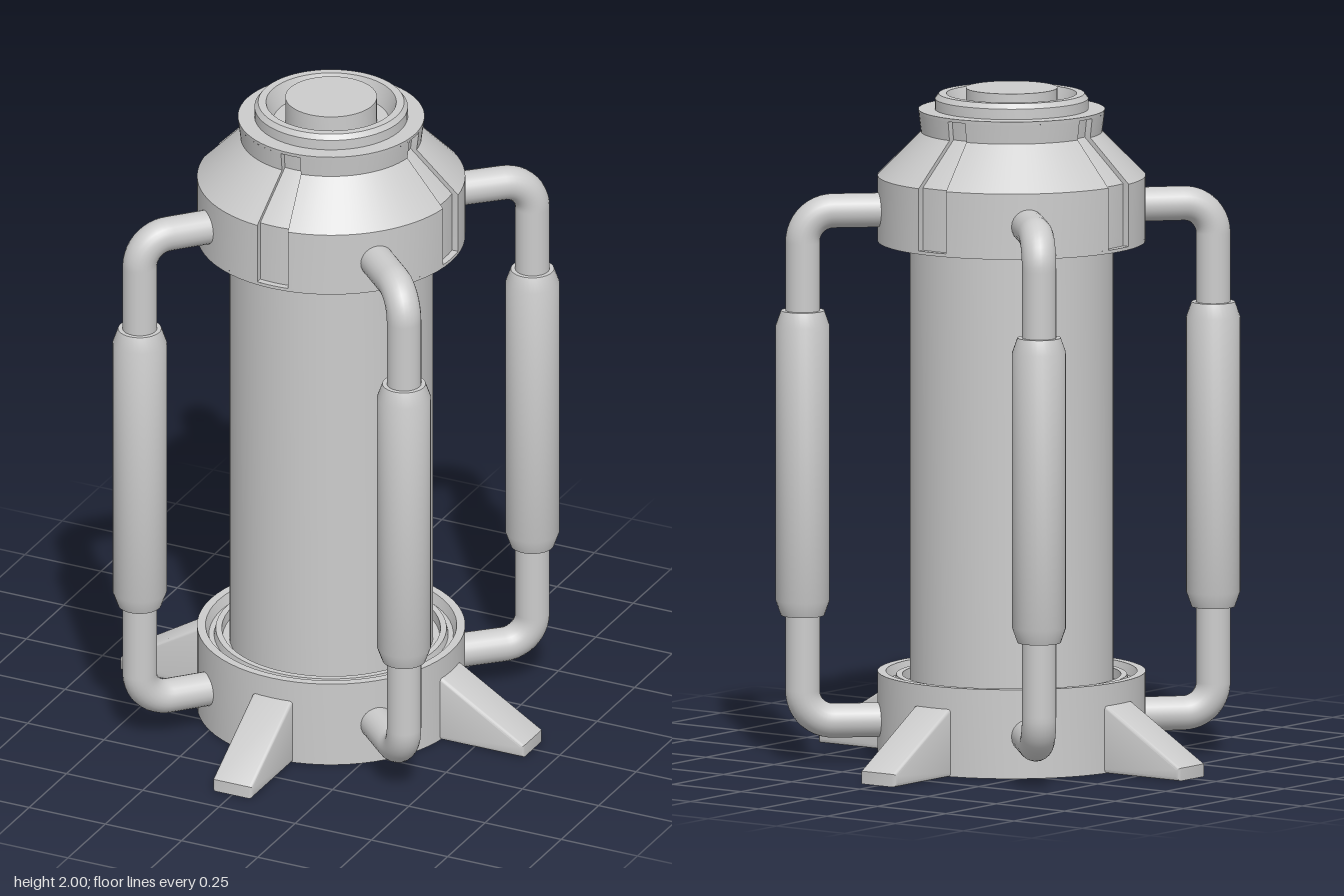
import * as THREE from 'three';
import { toCreasedNormals } from 'three/addons/utils/BufferGeometryUtils.js';

const grey = new THREE.MeshStandardMaterial({ color: 0xcccccc });

function mesh(name, geometry) {
  const m = new THREE.Mesh(geometry, grey);
  m.name = name;
  return m;
}

// Revolved profile, listed from the bottom up, with sharp edges kept
function turned(name, points, segments = 64) {
  const profile = points.map(([r, y]) => new THREE.Vector2(r, y));
  return mesh(name, toCreasedNormals(new THREE.LatheGeometry(profile, segments), 0.4));
}

// Outer skin of the head with four tapering recessed slots
function slottedShell() {
  const rows = [ // radius, height, half width of slot
    [0.395, 1.555, 0.05],
    [0.395, 1.74, 0.05],
    [0.267, 1.87, 0.031],
    [0.274, 1.927, 0.031],
  ];
  const depth = 0.02;
  const pos = [];
  const point = (r, t, y) => [r * Math.sin(t), y, r * Math.cos(t)];
  const quad = (a, b, c, d) => pos.push(...a, ...b, ...c, ...a, ...c, ...d);
  const angle = (w, r) => Math.asin(w / r);
  const mix = THREE.MathUtils.lerp;

  // Curved strip between two arcs, each given as radius, height, start, end
  const strip = (lo, hi, steps) => {
    for (let i = 0; i < steps; i++) {
      const at = (arc, k) => point(arc[0], mix(arc[2], arc[3], k / steps), arc[1]);
      quad(at(lo, i), at(lo, i + 1), at(hi, i + 1), at(hi, i));
    }
  };

  for (let q = 0; q < 4; q++) {
    const mid = q * Math.PI / 2;
    const next = mid + Math.PI / 2;
    const skin = ([r, y, w]) => [r, y, mid + angle(w, r), next - angle(w, r)];
    const slot = ([r, y, w], inset) =>
      [r - inset, y, mid - angle(w, r - inset), mid + angle(w, r - inset)];
    for (let i = 0; i < rows.length - 1; i++) {
      strip(skin(rows[i]), skin(rows[i + 1]), 16);
      const [ol, oh] = [slot(rows[i], 0), slot(rows[i + 1], 0)];
      const [nl, nh] = [slot(rows[i], depth), slot(rows[i + 1], depth)];
      strip(nl, nh, 4);
      const edge = (arc, side) => point(arc[0], arc[side], arc[1]);
      quad(edge(ol, 2), edge(nl, 2), edge(nh, 2), edge(oh, 2));
      quad(edge(nl, 3), edge(ol, 3), edge(oh, 3), edge(nh, 3));
    }
    // Slot floor and ceiling
    const top = rows[rows.length - 1];
    strip(slot(rows[0], 0), slot(rows[0], depth), 4);
    strip(slot(top, depth), slot(top, 0), 4);
  }
  const g = new THREE.BufferGeometry();
  g.setAttribute('position', new THREE.Float32BufferAttribute(pos, 3));
  return mesh('slottedHeadShell', toCreasedNormals(g, 0.4));
}

// Side pipe with rounded elbows and a thicker grip sleeve
function sidePipe(x, z) {
  const group = new THREE.Group();
  group.name = 'sidePipe';
  const R = Math.hypot(x, z), bend = 0.09, low = 0.125, high = 1.642;
  const v = (r, y) => new THREE.Vector3(r, y, 0);
  const path = new THREE.CurvePath();
  const elbow = (a, corner, b) => {
    // Cubic handles that follow a circular arc
    const k = 0.5523;
    return new THREE.CubicBezierCurve3(a, a.clone().lerp(corner, k), b.clone().lerp(corner, k), b);
  };
  path.add(new THREE.LineCurve3(v(0.34, low), v(R - bend, low)));
  path.add(elbow(v(R - bend, low), v(R, low), v(R, low + bend)));
  path.add(new THREE.LineCurve3(v(R, low + bend), v(R, high - bend)));
  path.add(elbow(v(R, high - bend), v(R, high), v(R - bend, high)));
  path.add(new THREE.LineCurve3(v(R - bend, high), v(0.34, high)));
  group.add(mesh('pipe', new THREE.TubeGeometry(path, 150, 0.051, 24)));

  const sleeve = turned('gripSleeve', [
    [0.05, 0.44], [0.064, 0.44], [0.08, 0.485],
    [0.08, 1.302], [0.064, 1.347], [0.05, 1.347],
  ], 32);
  sleeve.position.x = R;
  group.add(sleeve);
  group.rotation.y = Math.atan2(-z, x);
  return group;
}

// Wedge-shaped foot with softened edges
function foot(angle) {
  const shape = new THREE.Shape();
  shape.moveTo(0.34, 0);
  shape.lineTo(0.662, 0);
  shape.lineTo(0.662, 0.038);
  shape.lineTo(0.395, 0.2);
  shape.lineTo(0.34, 0.2);
  shape.closePath();
  const bevel = 0.01;
  const g = new THREE.ExtrudeGeometry(shape, {
    depth: 0.13 - 2 * bevel, bevelSize: bevel, bevelThickness: bevel,
    bevelOffset: -bevel, bevelSegments: 3,
  });
  g.translate(0, 0, -0.065 + bevel);
  const m = mesh('foot', toCreasedNormals(g, 0.6));
  m.rotation.y = angle;
  return m;
}

export function createModel() {
  const model = new THREE.Group();
  model.name = 'canister';

  // Base with a grooved rim around the column
  model.add(turned('base', [
    [0, 0], [0.395, 0], [0.395, 0.265], [0.37, 0.265], [0.36, 0.235], [0.345, 0.235],
    [0.34, 0.255], [0.322, 0.255], [0.32, 0.225], [0.29, 0.225],
  ]));
  model.add(turned('column', [[0.3, 0.2], [0.3, 1.61]]));

  // Head: grooved underside, slotted shell, stepped cap with a sunken ring
  model.add(turned('headUnderside', [
    [0.29, 1.585], [0.32, 1.585], [0.322, 1.555], [0.34, 1.555], [0.345, 1.575],
    [0.36, 1.575], [0.37, 1.545], [0.395, 1.545], [0.395, 1.555],
  ]));
  model.add(slottedShell());
  model.add(turned('cap', [
    [0.274, 1.927], [0.275, 1.937], [0.226, 1.937], [0.226, 1.968], [0.215, 1.983],
    [0.192, 1.983], [0.17, 1.925], [0.135, 1.925], [0.135, 2], [0, 2],
  ]));

  for (let i = 0; i < 4; i++) model.add(foot(i * Math.PI / 2));

  // The four pipes stand slightly unevenly around the body
  for (const [x, z] of [[0.453, -0.422], [0.45, 0.43], [-0.438, -0.455], [-0.41, 0.444]]) {
    model.add(sidePipe(x, z));
  }
  return model;
}
